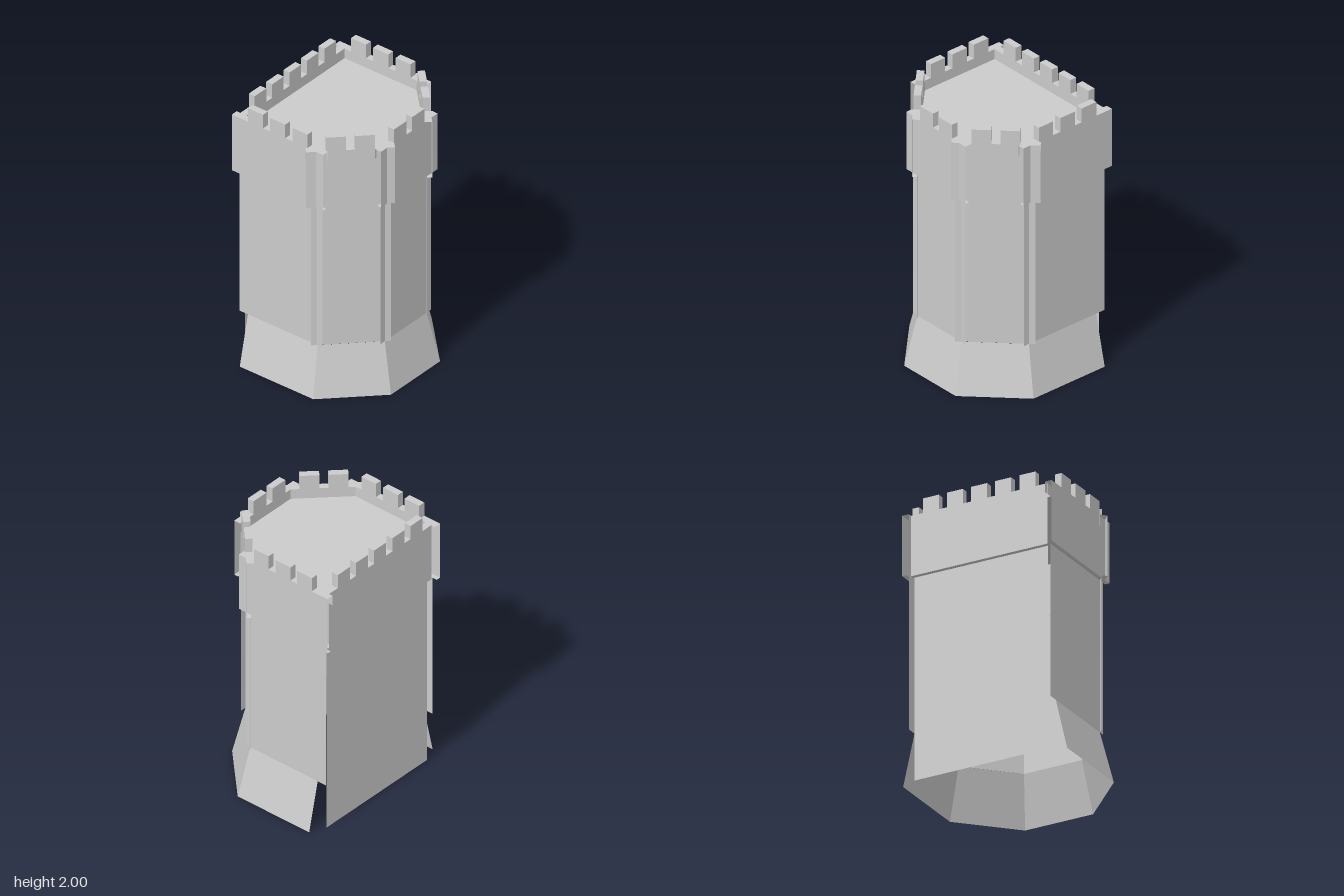
import * as THREE from 'three';

const material = new THREE.MeshStandardMaterial({
  color: 0xcccccc, flatShading: true, side: THREE.DoubleSide,
});

const BASE = 0, SKIRT_TOP = 0.365, PARAPET = 1.46, FLOOR = 1.82, WALK = 1.895, TOP = 2;
const THICK = 0.05;

function mesh(name, geometry, parent) {
  const m = new THREE.Mesh(geometry, material);
  m.name = name;
  parent.add(m);
  return m;
}

// Ribbon of quads between two polylines with the same number of points
function ribbon(a, b) {
  const pos = [];
  for (let i = 0; i < a.length - 1; i++) {
    pos.push(...a[i], ...a[i + 1], ...b[i + 1], ...a[i], ...b[i + 1], ...b[i]);
  }
  const g = new THREE.BufferGeometry();
  g.setAttribute('position', new THREE.Float32BufferAttribute(pos, 3));
  g.computeVertexNormals();
  return g;
}

// Flat upright panel in the local xy plane
function panel(u0, u1, y0, y1) {
  return new THREE.PlaneGeometry(u1 - u0, y1 - y0).translate((u0 + u1) / 2, (y0 + y1) / 2, 0);
}

// Battlement wall: outer skin at local z = 0, shorter inner skin, top rim, open ends
function battlement(name, u0, u1, merlons) {
  const wall = new THREE.Group();
  wall.name = name;
  const line = [[u0, WALK]];
  for (const [a, b] of merlons) line.push([a, WALK], [a, TOP], [b, TOP], [b, WALK]);
  line.push([u1, WALK]);
  const skin = (y) => new THREE.ShapeGeometry(new THREE.Shape(
    [[u0, y], [u1, y], ...line.slice().reverse()].map((p) => new THREE.Vector2(...p))));
  mesh('outerFace', skin(PARAPET), wall);
  mesh('innerFace', skin(FLOOR).translate(0, 0, -THICK), wall);
  mesh('topRim', ribbon(line.map(([u, y]) => [u, y, 0]), line.map(([u, y]) => [u, y, -THICK])), wall);
  mesh('underside', ribbon([[u0, PARAPET, -0.032], [u1, PARAPET, -0.032]],
    [[u0, PARAPET, 0], [u1, PARAPET, 0]]), wall);
  return wall;
}

function place(object, x, z, angle, parent) {
  object.position.set(x, 0, z);
  object.rotation.y = angle;
  parent.add(object);
}

// Diagonal and side walls of one half of the tower
function halfTower(name) {
  const half = new THREE.Group();
  half.name = name;
  place(battlement('diagonalBattlement', -0.292, 0.292, [[-0.16, -0.03], [0.03, 0.16]]),
    0.4, 0.32, Math.PI / 4, half);
  place(battlement('sideBattlement', -0.22, 0.545, [[-0.088, 0.036], [0.098, 0.226], [0.284, 0.41]]),
    0.56, 0, Math.PI / 2, half);
  place(mesh('diagonalWall', panel(-0.262, 0.262, SKIRT_TOP, PARAPET), half),
    0.374, 0.302, Math.PI / 4, half);
  place(mesh('sideWall', panel(-0.19, 0.507, SKIRT_TOP, PARAPET), half),
    0.53, 0, Math.PI / 2, half);
  return half;
}

export function createModel() {
  const tower = new THREE.Group();
  tower.name = 'tower';

  // Mirrored halves
  tower.add(halfTower('leftHalf'));
  const right = halfTower('rightHalf');
  right.scale.x = -1;
  tower.add(right);

  // Front and back walls
  place(mesh('frontWall', panel(-0.26, 0.26, SKIRT_TOP, PARAPET), tower), 0, 0.46, 0, tower);
  place(mesh('backWall', panel(-0.5, 0.5, BASE, PARAPET), tower), 0, -0.485, Math.PI, tower);
  place(battlement('frontBattlement', -0.293, 0.293, [[-0.158, -0.03], [0.03, 0.158]]),
    0, 0.49, 0, tower);
  const backMerlons = [-2, -1, 0, 1, 2].map((i) => [i * 0.181 - 0.06, i * 0.181 + 0.06]);
  place(battlement('backBattlement', -0.512, 0.512, backMerlons), 0, -0.515, Math.PI, tower);

  // Flared foot, open at the back
  const ring = (x, xFront, zBack, zSide, zFront, y) => [
    [-x, y, zBack], [-x, y, zSide], [-xFront, y, zFront],
    [xFront, y, zFront], [x, y, zSide], [x, y, zBack],
  ];
  mesh('flaredFoot', ribbon(ring(0.615, 0.255, -0.435, 0.182, 0.542, BASE),
    ring(0.53, 0.217, -0.435, 0.147, 0.46, SKIRT_TOP)), tower);

  // Roof floor inside the battlements
  const roof = new THREE.Shape([
    [-0.51, 0.465], [-0.51, -0.14], [-0.21, -0.44], [0.21, -0.44], [0.51, -0.14], [0.51, 0.465],
  ].map((p) => new THREE.Vector2(...p)));
  mesh('roofFloor', new THREE.ShapeGeometry(roof).rotateX(-Math.PI / 2).translate(0, FLOOR, 0), tower);

  return tower;
}
